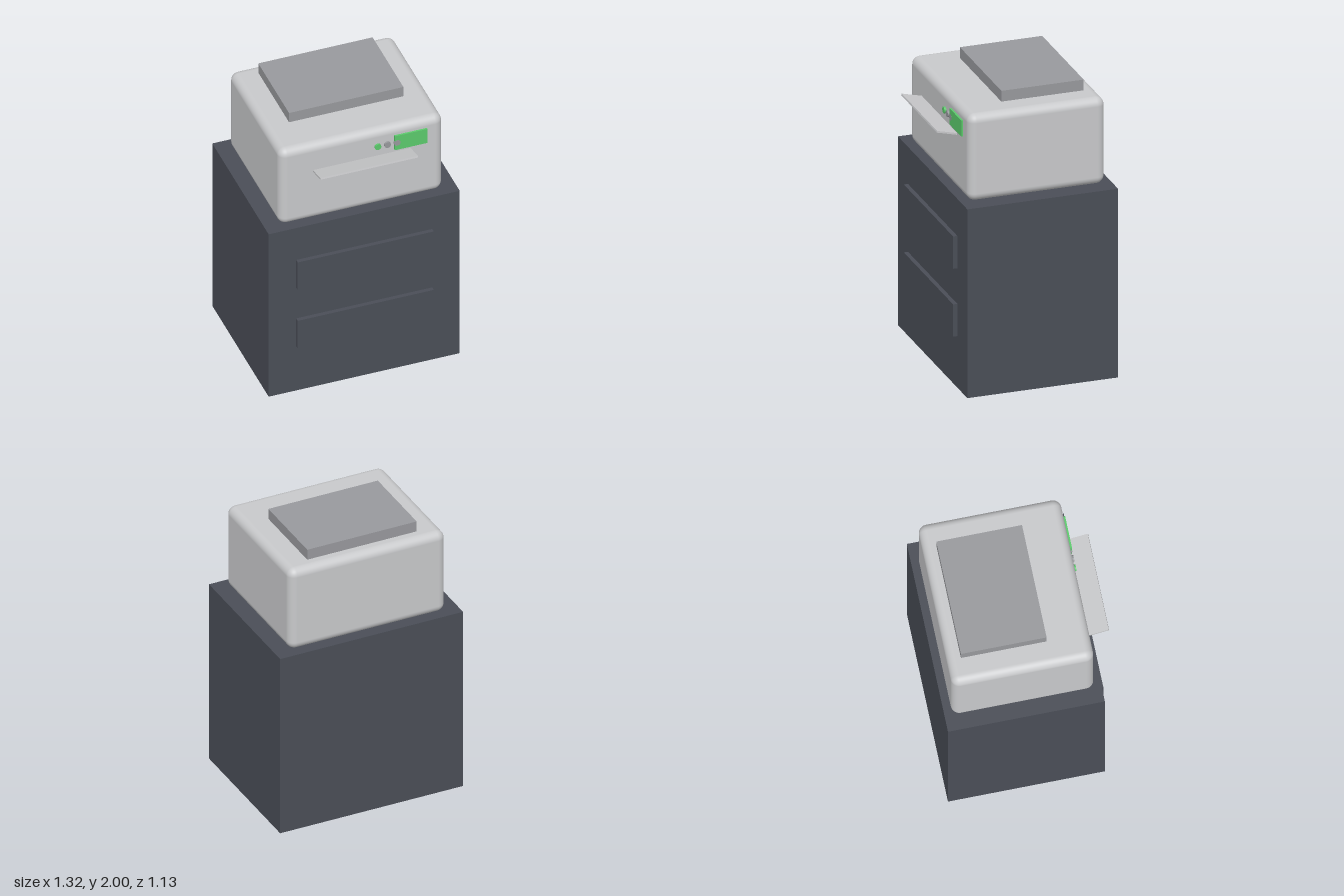
import * as THREE from 'three';
import { RoundedBoxGeometry } from 'three/addons/geometries/RoundedBoxGeometry.js';

const material = (name, color) => {
  const m = new THREE.MeshStandardMaterial({ color });
  m.name = name;
  return m;
};

export function createModel() {
  const charcoal = material('charcoal', 0x4a4e57);
  const lightGrey = material('light grey', 0xc8c9cb);
  const midGrey = material('mid grey', 0x98999d);
  const green = material('green', 0x5cca6c);

  const model = new THREE.Group();
  model.name = 'printerOnCabinet';

  const add = (name, geometry, mat, x, y, z) => {
    const mesh = new THREE.Mesh(geometry, mat);
    mesh.name = name;
    mesh.position.set(x, y, z);
    model.add(mesh);
    return mesh;
  };
  // Box given by its extents along each axis
  const box = (name, mat, [x0, x1], [y0, y1], [z0, z1]) =>
    add(name, new THREE.BoxGeometry(x1 - x0, y1 - y0, z1 - z0), mat,
      (x0 + x1) / 2, (y0 + y1) / 2, (z0 + z1) / 2);

  // Cabinet with two raised drawer fronts
  box('cabinet', charcoal, [-0.66, 0.66], [0, 1.32], [-0.565, 0.471]);
  [0.36, 0.835].forEach((y, i) =>
    box(`drawerFront${i + 1}`, charcoal, [-0.47, 0.47], [y, y + 0.226], [0.46, 0.5]));

  // Rounded printer body and scanner lid
  add('printerBody', new RoundedBoxGeometry(1.13, 0.605, 0.94, 6, 0.056), lightGrey, 0, 1.6225, -0.046);
  box('scannerLid', midGrey, [-0.395, 0.395], [1.915, 2], [-0.425, 0.141]);

  // Paper tray, tilted up towards its front edge
  const tray = add('paperTray', new THREE.BoxGeometry(0.675, 0.012, 0.19), lightGrey, 0, 1.728, 0.472);
  tray.rotation.x = -0.245;

  // Control panel: screen and three round buttons
  box('screen', green, [0.225, 0.45], [1.742, 1.855], [0.415, 0.437]);
  const buttonGeometry = new THREE.CylinderGeometry(0.022, 0.022, 0.022, 24).rotateX(Math.PI / 2);
  [green, midGrey, midGrey].forEach((mat, i) =>
    add(`button${i + 1}`, buttonGeometry, mat, 0.11 + i * 0.066, 1.797, 0.4265));

  return model;
}
